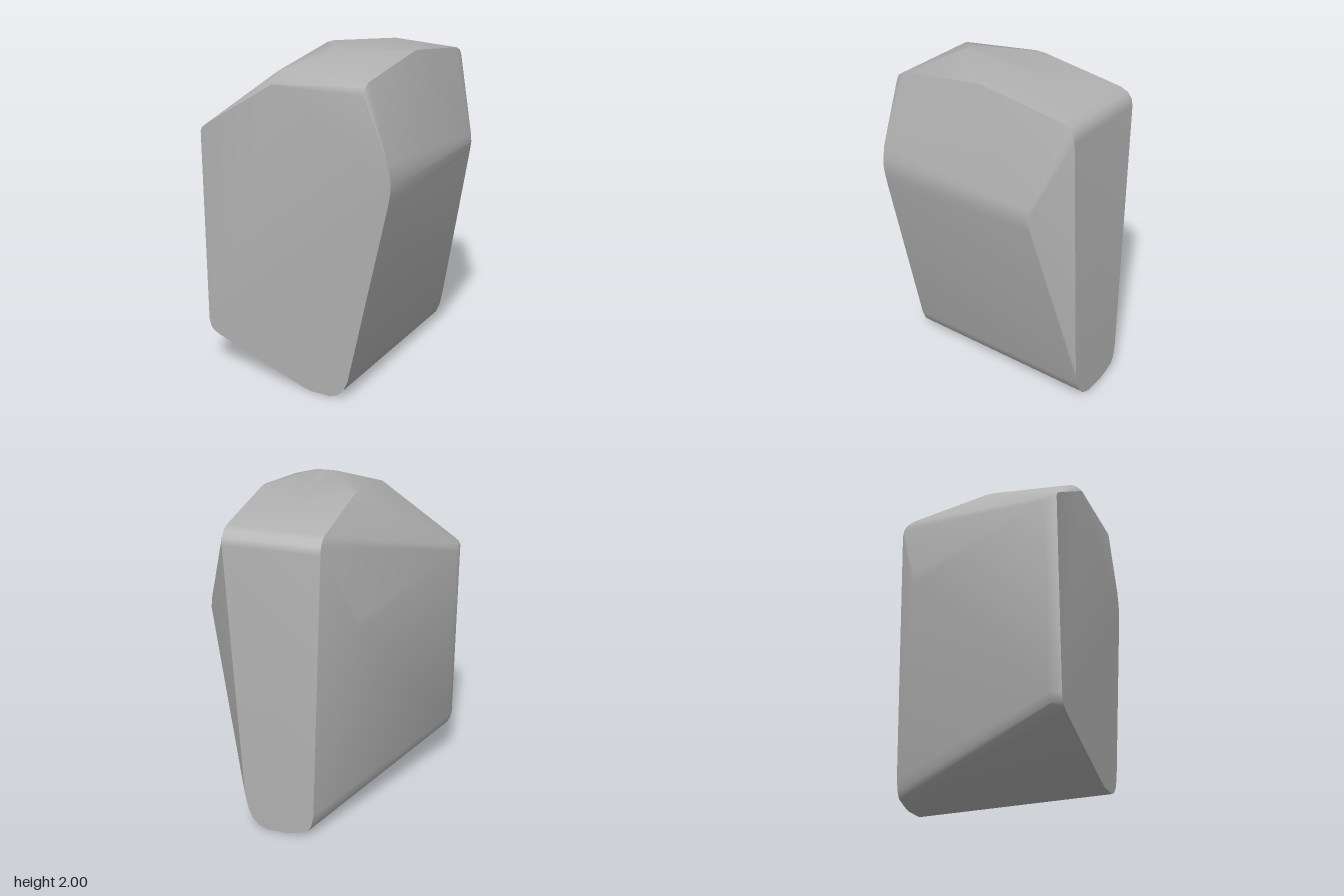
import * as THREE from 'three';
import { toCreasedNormals } from 'three/addons/utils/BufferGeometryUtils.js';
import { ConvexGeometry } from 'three/addons/geometries/ConvexGeometry.js';

const v = (x, y, z) => new THREE.Vector3(x, y, z);

export function createModel() {
  const stone = new THREE.MeshStandardMaterial({ color: 0xb0b0b0 });
  stone.name = 'stone grey';

  // front face outline (x, y), lying on a slightly turned plane
  const front = [
    [-0.615, 0.31], [-0.605, 0.265], [-0.585, 0.24], [-0.55, 0.22],
    [0.04, 0.015], [0.1, 0], [0.235, 0], [0.285, 0.022], [0.325, 0.065], [0.352, 0.13], [0.372, 0.23],
    [0.592, 1.22], [0.605, 1.29], [0.612, 1.345], [0.607, 1.4], [0.594, 1.47],
    [0.447, 1.83], [-0.12, 1.83], [-0.58, 1.545], [-0.605, 1.525], [-0.615, 1.5],
  ].map(([x, y]) => v(x, y, 0.6125 - 0.024 * x));

  // narrow back face outline (x, y)
  const back = [
    [-0.12, 1.8], [-0.065, 0.16], [-0.05, 0.08], [-0.03, 0.045], [0.04, 0.015], [0.1, 0],
    [0.235, 0], [0.285, 0.022], [0.325, 0.065], [0.352, 0.13], [0.372, 0.23], [0.447, 1.8],
  ].map(([x, y]) => v(x, y, -0.63));

  // rounded shoulders along the front and back of the top
  const shoulders = [];
  for (const x of [-0.12, 0.447]) {
    for (const [y, z] of [[1.868, 0.585], [1.892, 0.55], [1.842, -0.622], [1.873, -0.597], [1.893, -0.55]])
      shoulders.push(v(x, y, z));
  }

  // crown: peak, ridge end and the two upper side corners
  const crown = [
    v(0.1, 1.998, 0.315), v(0.16, 2, 0.3), v(0.225, 1.998, 0.315), v(0.16, 1.965, -0.3),
    v(-0.12, 1.967, 0.02), v(-0.12, 1.965, -0.04), v(0.447, 1.967, 0.02), v(0.447, 1.965, -0.04),
  ];

  // side bulges behind the widest line, and the thin left edge
  const sides = [
    v(0.605, 1.29, -0.45), v(0.612, 1.345, -0.45), v(0.607, 1.4, -0.45),
    v(-0.28, 1.39, -0.455), v(-0.282, 1.33, -0.455),
    v(-0.615, 0.32, 0.55), v(-0.6, 0.265, 0.56), v(-0.615, 1.49, 0.55), v(-0.6, 1.525, 0.56),
  ];

  const hull = new ConvexGeometry([...front, ...back, ...shoulders, ...crown, ...sides]);
  const rock = new THREE.Mesh(toCreasedNormals(hull, 0.5), stone);
  rock.name = 'rock';

  const model = new THREE.Group();
  model.name = 'boulder';
  model.add(rock);
  return model;
}
